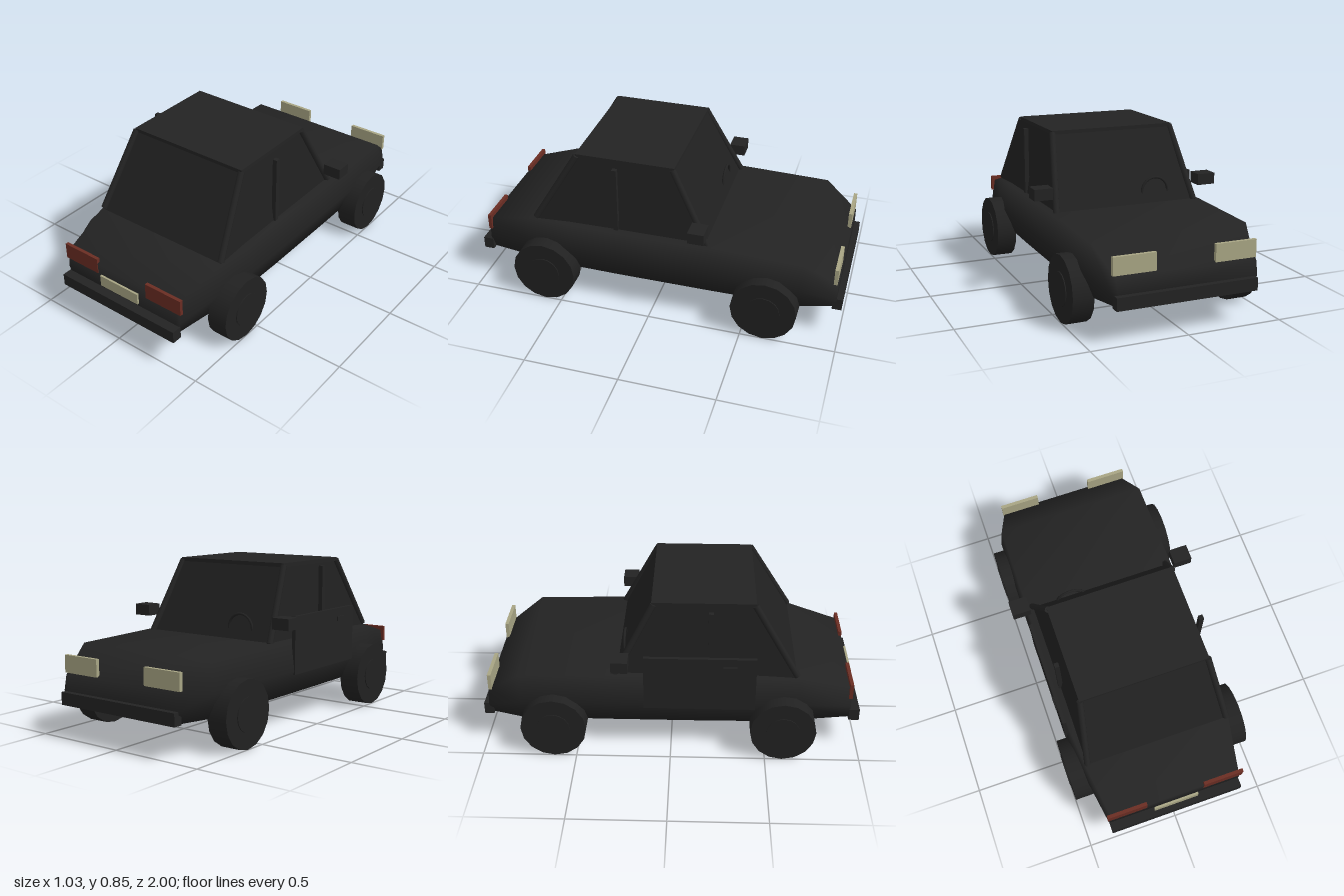
import * as THREE from 'three';

const mat = (name, color) => {
  const m = new THREE.MeshStandardMaterial({ color });
  m.name = name;
  return m;
};

export function createModel() {
  const car = new THREE.Group();
  car.name = 'car';
  const paint = mat('black paint', 0x232323);
  const glass = mat('dark glass', 0x202020);
  const rubber = mat('tyre rubber', 0x212121);
  const red = mat('tail lamp red', 0x6a2d23);
  const cream = mat('lamp cream', 0xa8a584);

  const add = (name, geo, material, x = 0, y = 0, z = 0) => {
    const m = new THREE.Mesh(geo, material);
    m.name = name;
    m.position.set(x, y, z);
    car.add(m);
    return m;
  };
  // Box given by its limits on each axis
  const box = (name, material, [x0, x1], [y0, y1], [z0, z1]) =>
    add(name, new THREE.BoxGeometry(x1 - x0, y1 - y0, z1 - z0), material,
      (x0 + x1) / 2, (y0 + y1) / 2, (z0 + z1) / 2);

  // Body shell: cross-sections [z, half width, top height], nose at -z
  const stations = [
    [-0.97, 0.38, 0.32], [-0.79, 0.44, 0.45], [-0.3, 0.445, 0.46],
    [0.2, 0.445, 0.458], [0.47, 0.44, 0.455], [0.67, 0.42, 0.445], [0.95, 0.375, 0.37],
  ];
  const pos = [], idx = [], n = 6;
  for (const [z, w, top] of stations) {
    const mid = 0.17 + (top - 0.17) * 0.45;
    for (const [x, y] of [[0.9 * w, 0.17], [w, mid], [0.955 * w, top],
      [-0.955 * w, top], [-w, mid], [-0.9 * w, 0.17]]) pos.push(x, y, z);
  }
  for (let s = 0; s < stations.length - 1; s++) {
    for (let i = 0; i < n; i++) {
      const a = s * n + i, b = s * n + (i + 1) % n;
      idx.push(a, b, b + n, a, b + n, a + n);
    }
  }
  const last = (stations.length - 1) * n;
  for (let i = 1; i < n - 1; i++) {
    idx.push(0, i + 1, i, last, last + i, last + i + 1);
  }
  const shell = new THREE.BufferGeometry();
  shell.setAttribute('position', new THREE.Float32BufferAttribute(pos, 3));
  shell.setIndex(idx);
  shell.computeVertexNormals();
  add('body', shell, paint);

  // Cabin glass: a box tapered towards the roof
  const cabin = new THREE.BoxGeometry(2, 2, 2);
  const p = cabin.attributes.position;
  for (let i = 0; i < p.count; i++) {
    const up = p.getY(i) > 0, back = p.getZ(i) > 0;
    p.setXYZ(i, p.getX(i) * (up ? 0.335 : 0.395), up ? 0.84 : 0.43,
      back ? (up ? 0.425 : 0.665) : (up ? -0.095 : -0.295));
  }
  cabin.computeVertexNormals();
  add('windows', cabin, glass);
  box('roof', paint, [-0.345, 0.345], [0.83, 0.85], [-0.1, 0.43]);

  // Pillar between two points
  const pillar = (name, a, b) => {
    const from = new THREE.Vector3(...a), to = new THREE.Vector3(...b);
    const dir = to.clone().sub(from);
    const m = add(name, new THREE.CylinderGeometry(0.017, 0.017, dir.length(), 8), paint);
    m.position.copy(from).add(to).multiplyScalar(0.5);
    m.quaternion.setFromUnitVectors(new THREE.Vector3(0, 1, 0), dir.normalize());
  };

  for (const s of [-1, 1]) {
    const side = s > 0 ? 'left' : 'right';
    const span = (a, b) => (s > 0 ? [a, b] : [-b, -a]);
    pillar(side + 'WindscreenPillar', [s * 0.395, 0.455, -0.29], [s * 0.34, 0.838, -0.09]);
    pillar(side + 'RearPillar', [s * 0.39, 0.455, 0.655], [s * 0.34, 0.838, 0.425]);
    box(side + 'MiddlePillar', paint, span(0.378, 0.402), [0.35, 0.82], [0.19, 0.215]);
    box(side + 'Mirror', paint, span(0.415, 0.515), [0.535, 0.595], [-0.3, -0.215]);
    box(side + 'TailLamp', red, span(0.16, 0.38), [0.312, 0.398], [0.935, 0.953]);
    box(side + 'HeadLamp', cream, span(0.155, 0.375), [0.328, 0.418], [-0.966, -0.947]);

    // Wheels with raised hubs
    for (const z of [0.59, -0.615]) {
      const wheel = (name, r, w, x, m) => {
        const g = new THREE.CylinderGeometry(r, r, w, 16);
        g.rotateZ(Math.PI / 2);
        add(name, g, m, s * x, 0.173, z);
      };
      wheel(side + 'Tyre', 0.173, 0.11, 0.445, rubber);
      wheel(side + 'Hub', 0.088, 0.11, 0.45, rubber);
    }
  }

  // Bumpers and number plate
  box('rearBumper', paint, [-0.37, 0.37], [0.17, 0.235], [0.945, 1]);
  box('noseBumper', paint, [-0.37, 0.37], [0.17, 0.235], [-1, -0.95]);
  box('numberPlate', cream, [-0.123, 0.123], [0.267, 0.328], [0.964, 0.975]);

  // Driver's door, handle and steering wheel
  box('door', paint, [-0.449, -0.43], [0.28, 0.585], [-0.14, 0.44]);
  box('doorHandle', paint, [-0.457, -0.447], [0.515, 0.54], [0.27, 0.34]);
  add('steeringWheel', new THREE.TorusGeometry(0.075, 0.007, 8, 24), rubber, -0.18, 0.515, -0.25);

  return car;
}
